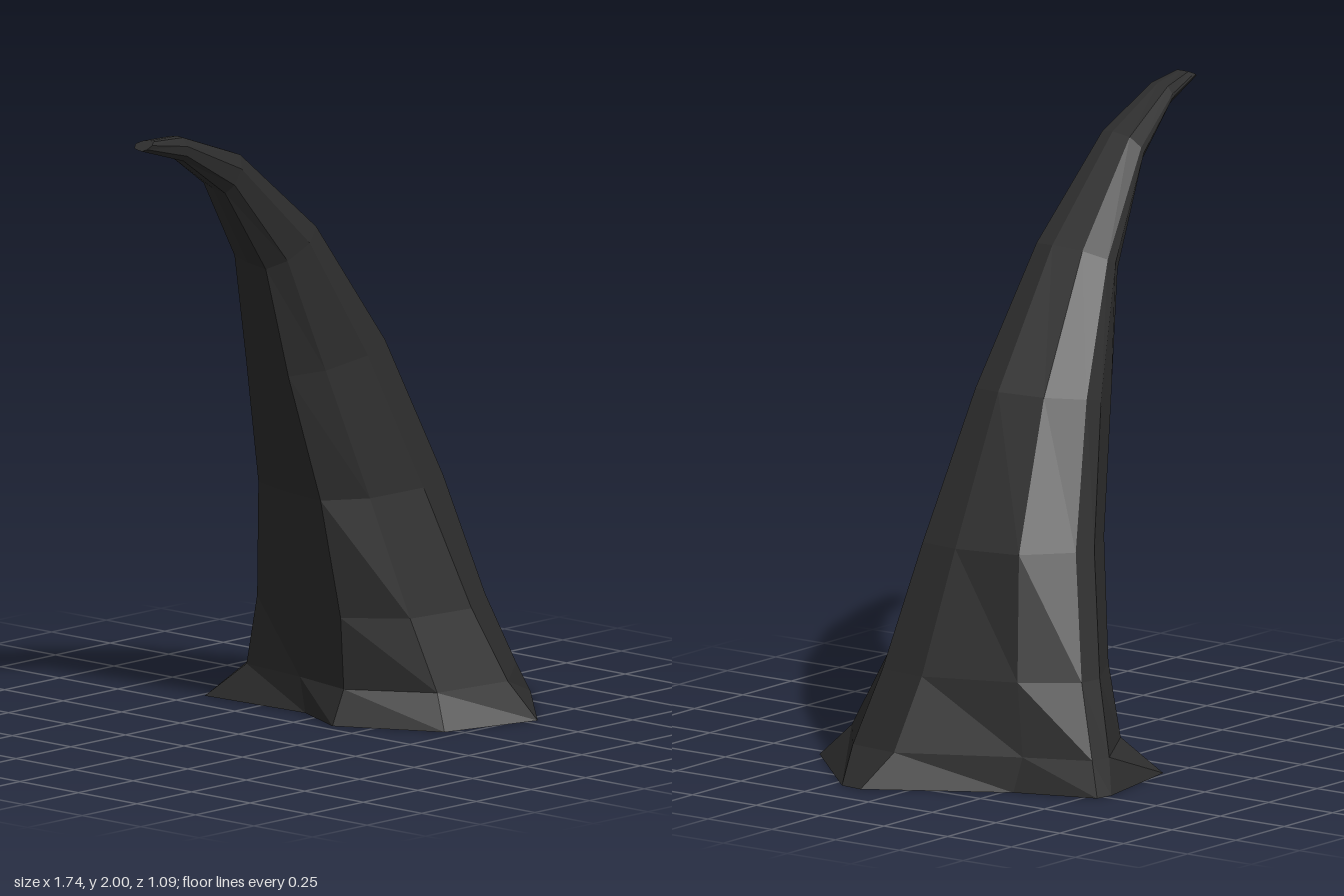
import * as THREE from 'three';

// Ground outline of the flared foot: [x, z], running clockwise seen from above
const FOOT = [
  [0.54, 0.54], [0.21, 0.45], [0.04, 0.13], [0.13, -0.07], [0.11, -0.48],
  [0.47, -0.55], [0.53, -0.54], [0.62, -0.28], [0.87, 0.13], [0.86, 0.21],
];

// Ridge positions on a section: [0 inner..1 outer, 0 back..1 front]
// just above the foot
const ANKLE = [
  [0.64, 1], [0.23, 0.96], [0, 0.69], [0.07, 0.44], [0.12, 0.16],
  [0.49, 0], [0.6, 0.01], [0.73, 0.23], [1, 0.62], [0.97, 0.81],
];
// and along the upper body
const BODY = [
  [0.64, 1], [0.23, 0.96], [0, 0.79], [0.06, 0.46], [0.15, 0.18],
  [0.49, 0], [0.64, 0.02], [0.91, 0.22], [1, 0.6], [0.97, 0.85],
];

// Tilted rings up the curve: [inner x, inner y, outer x, outer y, back z, front z]
const RINGS = [
  [0.09, 0.11, 0.78, 0.11, -0.51, 0.42],
  [0.075, 0.34, 0.68, 0.34, -0.43, 0.33],
  [0.01, 0.72, 0.55, 0.73, -0.335, 0.225],
  [-0.11, 1.13, 0.32, 1.19, -0.23, 0.165],
  [-0.22, 1.49, 0.0, 1.6, -0.125, 0.145],
  [-0.44, 1.77, -0.38, 1.89, -0.01, 0.155],
  [-0.66, 1.91, -0.67, 1.99, 0.07, 0.17],
  [-0.87, 1.975, -0.82, 2.0, 0.115, 0.18],
];

// Skins closed rings of points and fans both ends shut
function loft(rings) {
  const n = rings[0].length;
  const points = rings.flat();
  const index = [];
  for (let r = 0; r < rings.length - 1; r++) {
    for (let i = 0; i < n; i++) {
      const a = r * n + i, b = r * n + (i + 1) % n;
      index.push(a, a + n, b + n, a, b + n, b);
    }
  }
  const addCap = (start, flip) => {
    const centre = new THREE.Vector3();
    for (let i = 0; i < n; i++) centre.addScaledVector(points[start + i], 1 / n);
    const c = points.push(centre) - 1;
    for (let i = 0; i < n; i++) {
      const a = start + i, b = start + (i + 1) % n;
      index.push(c, flip ? b : a, flip ? a : b);
    }
  };
  addCap(0, false);
  addCap((rings.length - 1) * n, true);
  const geometry = new THREE.BufferGeometry().setFromPoints(points);
  geometry.setIndex(index);
  geometry.computeVertexNormals();
  return geometry;
}

export function createModel() {
  const group = new THREE.Group();
  group.name = 'curvedHorn';

  const { lerp } = THREE.MathUtils;
  const foot = FOOT.map(([x, z]) => new THREE.Vector3(x, 0, z));

  // The ankle section blends into the body section over the first rings
  const body = RINGS.map(([xi, yi, xo, yo, zb, zf], r) => ANKLE.map(([au, aw], i) => {
    const t = Math.min(1, r / 2);
    const u = lerp(au, BODY[i][0], t);
    const w = lerp(aw, BODY[i][1], t);
    return new THREE.Vector3(lerp(xi, xo, u), lerp(yi, yo, u), lerp(zb, zf, w));
  }));

  // Faceted dark horn with its flared foot
  const material = new THREE.MeshStandardMaterial({ color: 0x2d2d2d, flatShading: true });
  const horn = new THREE.Mesh(loft([foot, ...body]), material);
  horn.name = 'horn';
  group.add(horn);
  return group;
}
